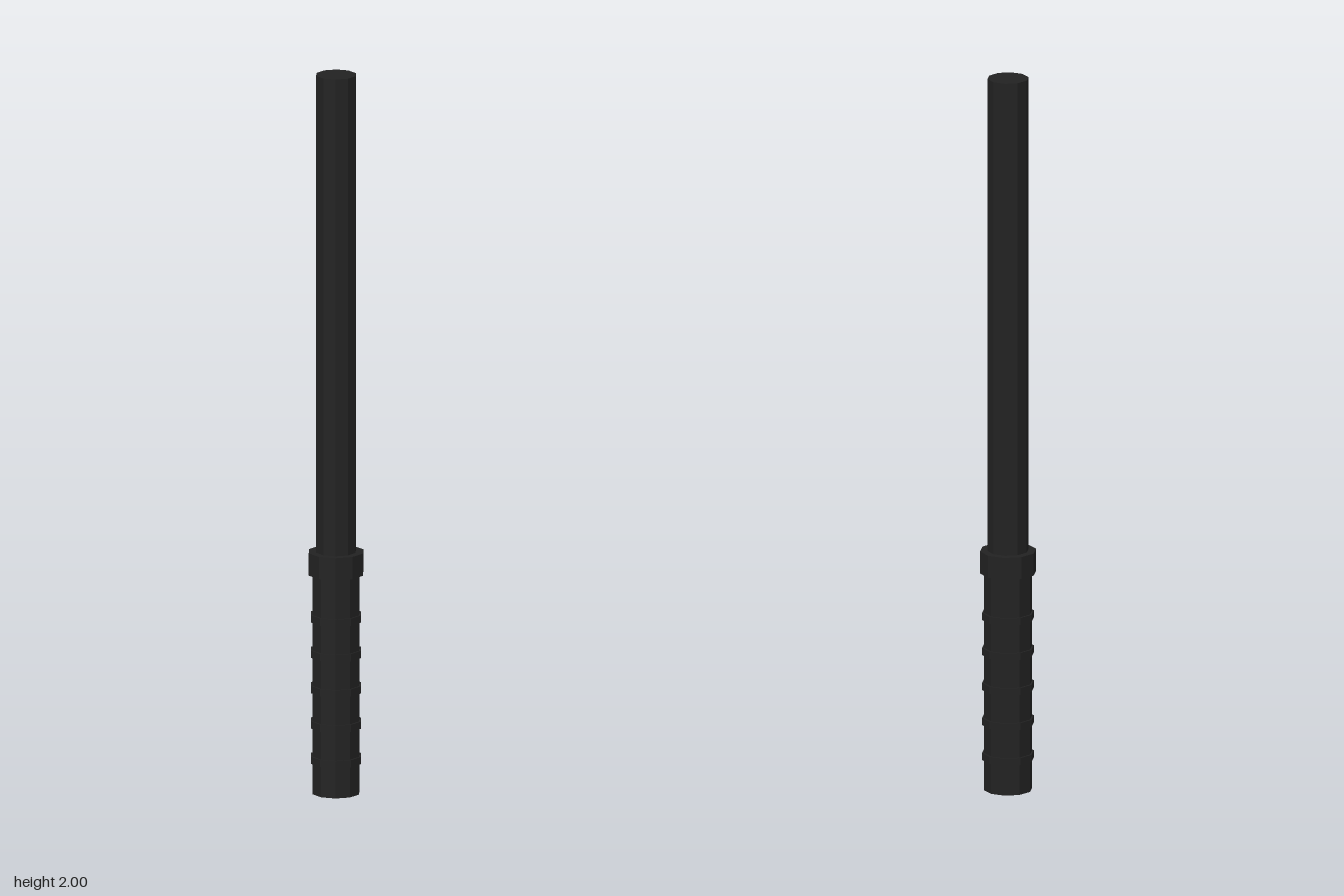
import * as THREE from 'three';

const SIDES = 10;

export function createModel() {
  const group = new THREE.Group();
  group.name = 'baton';
  const blackRubber = new THREE.MeshStandardMaterial({ color: 0x222222, flatShading: true });
  blackRubber.name = 'black rubber';

  // Ten-sided upright prism between two heights
  const prism = (name, radius, bottom, top) => {
    const geometry = new THREE.CylinderGeometry(radius, radius, top - bottom, SIDES);
    const mesh = new THREE.Mesh(geometry, blackRubber);
    mesh.name = name;
    mesh.position.y = (bottom + top) / 2;
    group.add(mesh);
  };

  prism('shaft', 0.056, 0.64, 2);
  prism('collar', 0.077, 0.61, 0.672);
  prism('grip', 0.066, 0, 0.64);

  // Raised rings along the grip
  for (let i = 0; i < 5; i++) {
    const y = 0.095 + i * 0.0985;
    prism(`gripRing${i + 1}`, 0.071, y - 0.01, y + 0.01);
  }
  return group;
}
